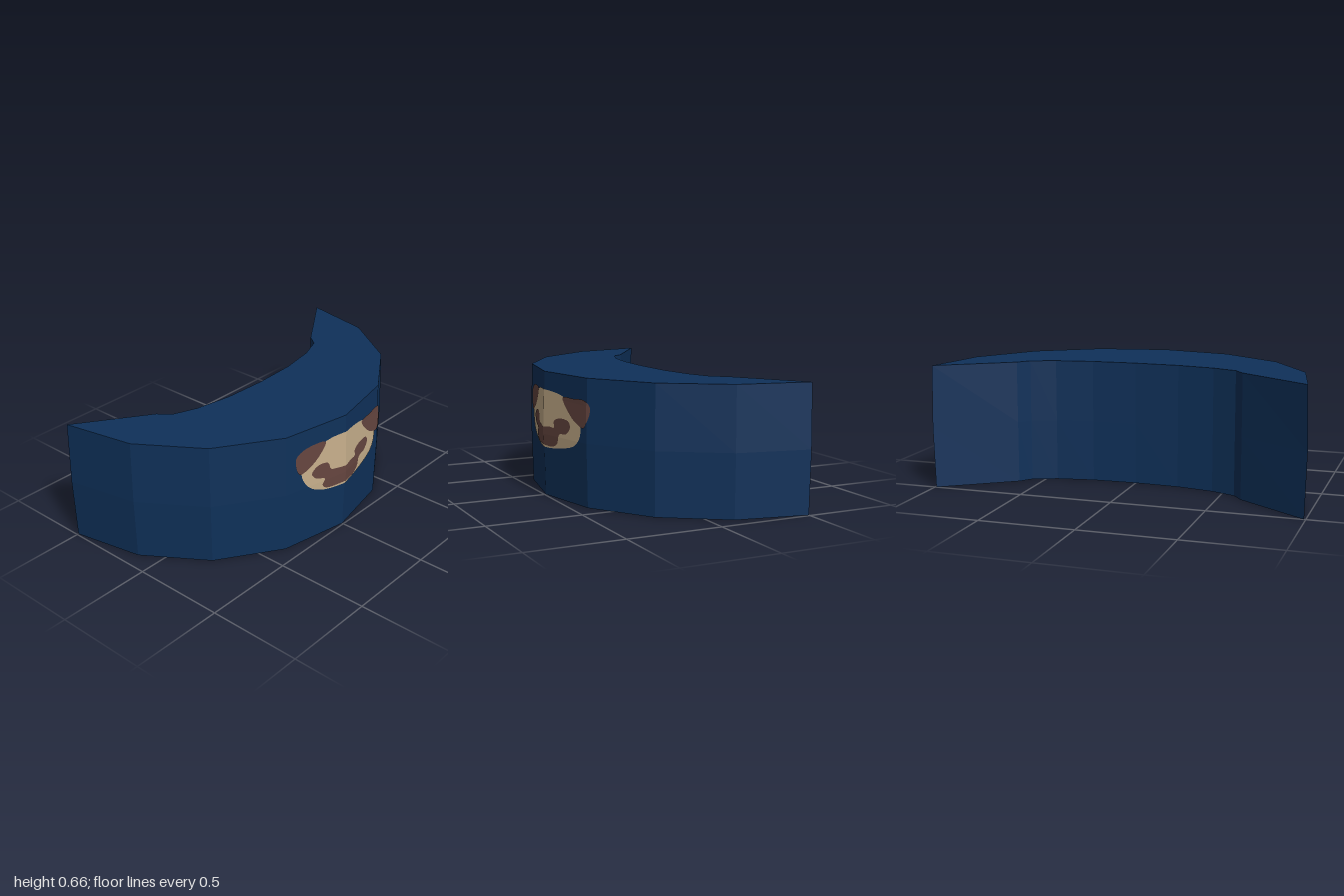
import * as THREE from 'three';

const HEIGHT = 0.66, MID = HEIGHT / 2, CENTER_X = -0.5, STEP = Math.PI / 8;

// Radius of the faceted outer wall: it swells slightly at half height
const radiusAt = (y) => 1 - 0.008 * Math.abs(y - MID) / MID;

// x of the faceted outer wall at a given height and depth
function wallX(y, z) {
  const r = radiusAt(y), a = Math.abs(z);
  const k = a < r * Math.sin(STEP) ? 0 : 1;
  const z0 = r * Math.sin(k * STEP), z1 = r * Math.sin((k + 1) * STEP);
  const x0 = r * Math.cos(k * STEP), x1 = r * Math.cos((k + 1) * STEP);
  return CENTER_X + x0 + (x1 - x0) * (a - z0) / (z1 - z0);
}

// Crescent block with a faceted outer arc and a shallow inner arc
function crescentGeometry() {
  const r = radiusAt(0), pts = [];
  for (let i = -4; i <= 4; i++) {
    pts.push(new THREE.Vector2(CENTER_X + r * Math.cos(i * STEP), r * Math.sin(i * STEP)));
  }
  const inner = [[-0.245, 0.62], [-0.18, 0.57], [-0.13, 0.44], [-0.095, 0.24]];
  inner.forEach(([x, z]) => pts.push(new THREE.Vector2(x, z)));
  pts.push(new THREE.Vector2(-0.085, 0));
  inner.reverse().forEach(([x, z]) => pts.push(new THREE.Vector2(x, -z)));
  const geo = new THREE.ExtrudeGeometry(new THREE.Shape(pts), { depth: HEIGHT, steps: 2, bevelEnabled: false });
  geo.rotateX(-Math.PI / 2);
  // Swell the middle ring of the outer wall
  const p = geo.attributes.position;
  for (let i = 0; i < p.count; i++) {
    const dx = p.getX(i) - CENTER_X, z = p.getZ(i);
    if (Math.abs(p.getY(i) - MID) < 0.1 && Math.hypot(dx, z) > 0.95) {
      p.setX(i, CENTER_X + dx / r);
      p.setZ(i, z / r);
    }
  }
  geo.computeVertexNormals();
  return geo;
}

// Keep the part of a convex polygon where sign * (p[axis] - limit) >= 0
function clip(poly, axis, limit, sign) {
  const out = [];
  poly.forEach((a, i) => {
    const b = poly[(i + 1) % poly.length];
    const da = sign * (a[axis] - limit), db = sign * (b[axis] - limit);
    if (da >= 0) out.push(a);
    if (da * db < 0) {
      const t = da / (da - db);
      out.push([a[0] + (b[0] - a[0]) * t, a[1] + (b[1] - a[1]) * t]);
    }
  });
  return out;
}

// Painted patch: a smooth outline (u = -z, v = y, in hundredths) draped over the wall facets
function patchGeometry(outline, lift) {
  const curve = new THREE.CatmullRomCurve3(
    outline.map(([u, v]) => new THREE.Vector3(u / 100, v / 100, 0)), true);
  const pts = curve.getPoints(outline.length * 5).slice(0, -1);
  const flat = new THREE.ShapeGeometry(new THREE.Shape(pts.map((p) => new THREE.Vector2(p.x, p.y))));
  const src = flat.attributes.position, idx = flat.index.array;
  const edge = Math.sin(STEP), columns = [-0.7, -edge, 0, edge, 0.7], rows = [0, MID, HEIGHT];
  const verts = [];
  for (let t = 0; t < idx.length; t += 3) {
    const tri = [0, 1, 2].map((k) => [src.getX(idx[t + k]), src.getY(idx[t + k])]);
    for (let c = 0; c < 4; c++) for (let r = 0; r < 2; r++) {
      let poly = clip(tri, 0, columns[c], 1);
      poly = clip(poly, 0, columns[c + 1], -1);
      poly = clip(poly, 1, rows[r], 1);
      poly = clip(poly, 1, rows[r + 1], -1);
      for (let k = 1; k + 1 < poly.length; k++) {
        [poly[0], poly[k], poly[k + 1]].forEach(([u, v]) => verts.push(wallX(v, -u) + lift, v, -u));
      }
    }
  }
  const geo = new THREE.BufferGeometry();
  geo.setAttribute('position', new THREE.Float32BufferAttribute(verts, 3));
  geo.computeVertexNormals();
  return geo;
}

export function createModel() {
  const material = (name, color) => {
    const m = new THREE.MeshStandardMaterial({ color });
    m.name = name;
    return m;
  };
  const navy = material('navy', 0x0f315a);
  const cream = material('cream', 0xc8b08c);
  const brown = material('brown', 0x664640);

  const group = new THREE.Group();
  group.name = 'crescentBlock';
  const add = (name, geo, mat) => {
    const mesh = new THREE.Mesh(geo, mat);
    mesh.name = name;
    group.add(mesh);
  };

  add('crescentBody', crescentGeometry(), navy);

  // Dog face painted on the outer wall
  add('facePatch', patchGeometry([
    [-29, 42], [-26, 48], [-14, 55.5], [2, 56.5], [18, 54.5], [27, 50], [33, 43],
    [33, 36], [29, 31], [20, 28], [2, 26], [-16, 28], [-25, 33.5]], 0.003), cream);
  add('leftEar', patchGeometry([
    [-32.5, 52], [-29, 55], [-20, 56.5], [-13.5, 55.5], [-17.5, 49], [-25, 43.5], [-30.5, 42.5]], 0.005), brown);
  add('rightEar', patchGeometry([
    [17.5, 54], [27, 54.5], [37, 54.5], [40, 51.5], [39, 45], [36, 40.5], [32, 41.5], [26, 44.5]], 0.005), brown);
  add('muzzle', patchGeometry([
    [-22.5, 40], [-18.5, 43.3], [-12, 42.7], [-10, 38.5], [-6, 37.5], [0, 36.8], [6, 37.5], [10, 37.5],
    [10, 41], [16, 43], [23.5, 42], [24.5, 39], [21, 35.5], [15, 34.5], [13, 29.5], [9, 27.3],
    [0, 27.3], [-13, 28.3], [-15.5, 31], [-14, 34], [-20, 36.5]], 0.005), brown);

  return group;
}
